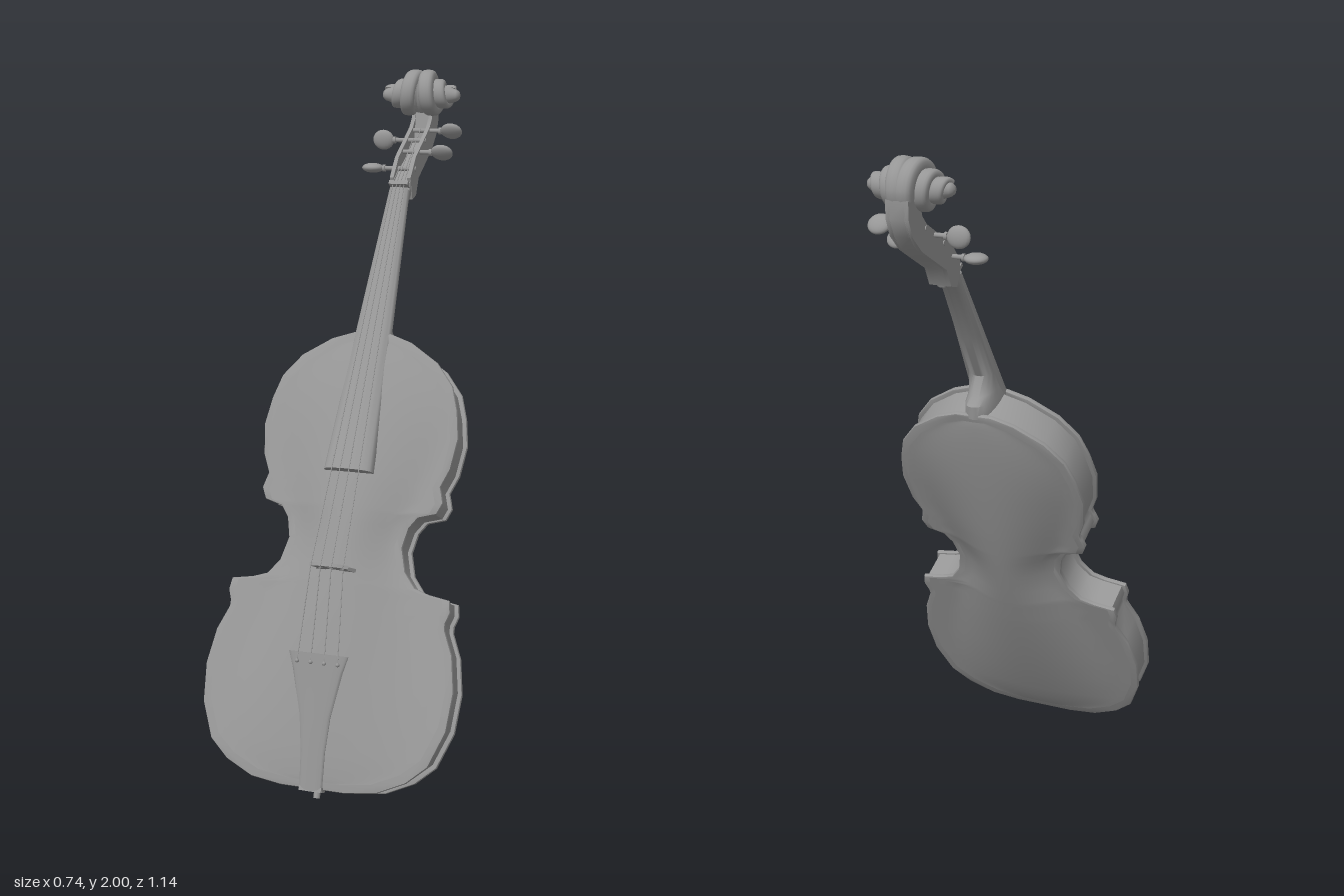
import * as THREE from 'three';
import { toCreasedNormals } from 'three/addons/utils/BufferGeometryUtils.js';
import { ParametricGeometry } from 'three/addons/geometries/ParametricGeometry.js';

const MAT = new THREE.MeshStandardMaterial({ color: 0x969696 });
const TWO_SIDED = new THREE.MeshStandardMaterial({ color: 0x969696, side: THREE.DoubleSide });

// Half outline of the body: [height along body, half width]
const OUTLINE = [
  [0, .1], [.012, .19], [.05, .27], [.1, .325], [.2, .364], [.31, .372], [.41, .355], [.48, .325],
  [.5, .325], [.53, .335], [.56, .33], [.57, .27], [.585, .225], [.63, .19], [.7, .172], [.76, .185],
  [.795, .21], [.81, .262], [.84, .275], [.865, .268], [.885, .262], [.94, .285], [1.03, .297],
  [1.11, .284], [1.18, .262], [1.245, .21], [1.3, .125], [1.322, .06],
];
const LENGTH = 1.322;

function add(parent, name, geo, mat = MAT) {
  const mesh = new THREE.Mesh(geo, mat);
  mesh.name = name;
  parent.add(mesh);
  return mesh;
}

const inset = (d) => OUTLINE.map(([v, h]) => [.66 + (v - .66) * (1 - d * 1.5), h - d]);

function outlineShape(d) {
  const half = inset(d);
  const right = half.map(([v, h]) => new THREE.Vector2(h, v));
  const left = half.map(([v, h]) => new THREE.Vector2(-h, v)).reverse();
  return new THREE.Shape([...right, ...left]);
}

// Arched plate: thin bevelled rim plus a domed surface rising from it toward +z
function plate(name, rise) {
  const g = new THREE.Group();
  g.name = name;
  const rim = new THREE.ExtrudeGeometry(outlineShape(.005), {
    depth: .006, bevelEnabled: true, bevelThickness: .005, bevelSize: .005, bevelSegments: 2,
  });
  add(g, name + 'Rim', toCreasedNormals(rim.translate(0, 0, .005), .7));
  const rows = inset(.022), N = 24, pos = [], idx = [];
  rows.forEach(([v, h], i) => {
    const reach = Math.min(h, .16 + .3 * Math.abs(v - .71));
    const along = Math.pow(Math.max(Math.sin(Math.PI * (v - .02) / (LENGTH - .04)), 0), .7);
    for (let j = 0; j <= N; j++) {
      const x = h * (2 * j / N - 1);
      const c = Math.cos(Math.PI / 2 * Math.min(1, Math.abs(x) / reach));
      pos.push(x, v, .0165 + rise * along * Math.pow(c, 1.4));
      if (i && j) {
        const d = i * (N + 1) + j, b = d - N - 1;
        idx.push(b - 1, b, d, b - 1, d, d - 1);
      }
    }
  });
  const dome = new THREE.BufferGeometry();
  dome.setAttribute('position', new THREE.Float32BufferAttribute(pos, 3));
  dome.setIndex(idx);
  dome.computeVertexNormals();
  add(g, name + 'Arch', dome, TWO_SIDED);
  return g;
}

// Loft of D-shaped sections; station = [flat z, flat y, round z, round y, half width]
function loft(stations, power = 1, n = 14) {
  const pos = [], idx = [], R = n + 1;
  for (const [fz, fy, bz, by, w] of stations) {
    for (let j = 0; j <= n; j++) {
      const a = Math.PI * j / n, t = Math.pow(Math.max(Math.sin(a), 0), power);
      pos.push(w * Math.cos(a), fy + (by - fy) * t, fz + (bz - fz) * t);
    }
  }
  for (let i = 0; i + 1 < stations.length; i++) {
    for (let j = 0; j < R; j++) {
      const k = (j + 1) % R, a = i * R + j, b = i * R + k;
      idx.push(a, b, b + R, a, b + R, a + R);
    }
  }
  const top = (stations.length - 1) * R;
  for (let j = 1; j < n; j++) idx.push(0, j + 1, j, top, top + j, top + j + 1);
  const geo = new THREE.BufferGeometry();
  geo.setAttribute('position', new THREE.Float32BufferAttribute(pos, 3));
  geo.setIndex(idx);
  return toCreasedNormals(geo, .8);
}

// Side profile of [z, y] points extruded across x, centred on cx
function slab(points, width, cx = 0) {
  const shape = new THREE.Shape(points.map(([z, y]) => new THREE.Vector2(z, y)));
  const geo = new THREE.ExtrudeGeometry(shape, { depth: width, bevelEnabled: false });
  return toCreasedNormals(geo.translate(0, 0, -width / 2).rotateY(-Math.PI / 2).translate(cx, 0, 0), .7);
}

function rod(parent, name, a, b, r) {
  const p = new THREE.Vector3(...a), q = new THREE.Vector3(...b);
  const mesh = add(parent, name, new THREE.CylinderGeometry(r, r, p.distanceTo(q), 8));
  mesh.position.copy(p).add(q).multiplyScalar(.5);
  mesh.quaternion.setFromUnitVectors(new THREE.Vector3(0, 1, 0), q.sub(p).normalize());
}

const rounded = (t) => Math.sign(t) * Math.pow(Math.abs(t), .7);

export function createModel() {
  const model = new THREE.Group();
  model.name = 'violin';

  // Body, leaning back
  const body = new THREE.Group();
  body.name = 'body';
  body.position.set(0, .004, .448);
  body.rotation.x = -.441;
  model.add(body);
  const back = plate('backPlate', .06);
  back.rotation.y = Math.PI;
  back.position.z = .016;
  const belly = plate('belly', .05);
  belly.position.z = .098;
  belly.rotation.x = .017;
  body.add(back, belly);
  const ribs = new THREE.ExtrudeGeometry(outlineShape(.012), { depth: 1, bevelEnabled: false });
  const p = ribs.attributes.position;
  for (let i = 0; i < p.count; i++) p.setZ(i, .008 + p.getZ(i) * (.096 + .017 * p.getY(i)));
  add(body, 'ribs', toCreasedNormals(ribs, .7));

  // Bridge with a cut-away foot arch and openings
  const s = new THREE.Shape();
  s.moveTo(-.06, -.012);
  s.lineTo(-.028, -.006);
  s.quadraticCurveTo(0, .03, .028, -.006);
  s.lineTo(.06, -.012);
  s.lineTo(.046, .022);
  s.lineTo(.058, .054);
  s.quadraticCurveTo(0, .094, -.058, .054);
  s.lineTo(-.046, .022);
  for (const [x, y, r] of [[0, .04, .01], [-.033, .032, .008], [.033, .032, .008]]) {
    s.holes.push(new THREE.Path().absarc(x, y, r, 0, Math.PI * 2, true));
  }
  add(body, 'bridge', new THREE.ExtrudeGeometry(s, { depth: .01, bevelEnabled: false, curveSegments: 8 })
    .rotateX(Math.PI / 2).translate(0, .621, .183));

  // Neck, fingerboard and nut
  add(model, 'neck', loft([
    [.02, 1.2, -.118, 1.19, .052], [-.003, 1.245, -.122, 1.228, .048], [-.02, 1.272, -.095, 1.252, .042],
    [-.05, 1.328, -.077, 1.31, .039], [-.139, 1.457, -.161, 1.443, .036], [-.245, 1.625, -.267, 1.612, .031],
    [-.255, 1.645, -.313, 1.622, .031], [-.262, 1.675, -.33, 1.66, .031],
  ], .8));
  add(model, 'fingerboard', loft([
    [.221, .889, .248, .906, -.074], [-.02, 1.268, .003, 1.282, -.054], [-.258, 1.647, -.238, 1.661, -.031],
  ], .55));
  const nut = add(model, 'nut', new THREE.BoxGeometry(.06, .012, .03));
  nut.position.set(0, 1.667, -.254);
  nut.rotation.x = -.56;

  // Open pegbox: two cheeks over a curved floor
  const rear = [
    [-.563, 1.9], [-.561, 1.85], [-.54, 1.803], [-.49, 1.758], [-.42, 1.72], [-.345, 1.68], [-.318, 1.629], [-.28, 1.62],
  ];
  const front = [[-.26, 1.687], [-.313, 1.745], [-.393, 1.788], [-.46, 1.825], [-.485, 1.85], [-.5, 1.9]];
  for (const side of [-1, 1]) add(model, 'pegboxCheek', slab([...rear, ...front], .012, side * .027));
  add(model, 'pegboxFloor', slab([...rear, [-.27, 1.675], [-.325, 1.71], [-.41, 1.75], [-.475, 1.79], [-.5, 1.9]], .05));

  // Scroll: mirrored tapering volutes around a stepped core
  const scroll = new THREE.Group();
  scroll.name = 'scroll';
  scroll.position.set(0, 1.923, -.48);
  model.add(scroll);
  const volute = new ParametricGeometry((u, v, out) => {
    const th = -.35 + u * (4.7 * Math.PI + .35), a = v * Math.PI * 2;
    const rho = .087 * Math.exp(-.07 * Math.max(th, 0)), b = rho * .3;
    const r = rho - b + b * rounded(Math.cos(a));
    const x = .012 + .086 * Math.pow(u, 1.1) + (.025 - .007 * u) * rounded(Math.sin(a));
    out.set(x, r * Math.sin(th), -r * Math.cos(th));
  }, 120, 16);
  const core = new THREE.LatheGeometry(
    [[0, 0], [.055, 0], [.05, .03], [.036, .06], [.026, .09], [.018, .114], [.012, .122], [0, .124]]
      .map(([r, y]) => new THREE.Vector2(r, y)), 20).rotateZ(-Math.PI / 2);
  for (const side of [-1, 1]) {
    add(scroll, 'volute', volute, TWO_SIDED).scale.x = side;
    add(scroll, 'voluteCore', core, TWO_SIDED).scale.x = side;
  }

  // Tuning pegs: [side, y, z, turn of the flat head]
  const pegs = [[-1, 1.71, -.308, 1.5], [1, 1.757, -.36, .75], [-1, 1.788, -.414, .1], [1, 1.815, -.465, .75]];
  for (const [side, y, z, turn] of pegs) {
    const peg = new THREE.Group();
    peg.name = 'tuningPeg';
    peg.position.set(0, y, z);
    peg.rotation.x = turn;
    rod(peg, 'pegShaft', [-side * .036, 0, 0], [side * .08, 0, 0], .007);
    const collar = add(peg, 'pegCollar', new THREE.CylinderGeometry(.011, .011, .008, 12).rotateZ(Math.PI / 2));
    collar.position.x = side * .066;
    const head = add(peg, 'pegHead', new THREE.SphereGeometry(1, 18, 12));
    head.scale.set(.034, .031, .015);
    head.position.x = side * .102;
    model.add(peg);
  }

  // Thin tailpiece, saddle and end button
  add(model, 'tailpiece', loft([
    [.562, .051, .57, .053, -.034], [.541, .16, .549, .162, -.036], [.521, .26, .529, .262, -.046],
    [.496, .385, .504, .387, -.074], [.487, .432, .495, .434, -.088],
  ], .6));
  const saddle = add(model, 'saddle', new THREE.BoxGeometry(.066, .014, .036));
  saddle.position.set(0, .052, .551);
  saddle.rotation.x = -.441;
  rod(model, 'endButton', [0, .04, .5], [0, .007, .514], .01);

  // Four strings from tailpiece over bridge and nut to the pegs
  [0, 1, 2, 3].forEach((i) => {
    const k = i - 1.5, peg = pegs[[0, 2, 3, 1][i]], crown = Math.abs(k) > 1 ? -.006 : .003;
    const path = [
      [k * .04, .41, .5], [k * .032, .668 + crown * .4, .421 + crown], [k * .0115, 1.68, -.251],
      [k * .009, peg[1] + .006, peg[2] + .006],
    ];
    for (let j = 0; j < 3; j++) rod(model, 'string', path[j], path[j + 1], .0015);
    add(model, 'stringAnchor', new THREE.SphereGeometry(.006, 8, 6)).position.set(...path[0]);
  });
  return model;
}
